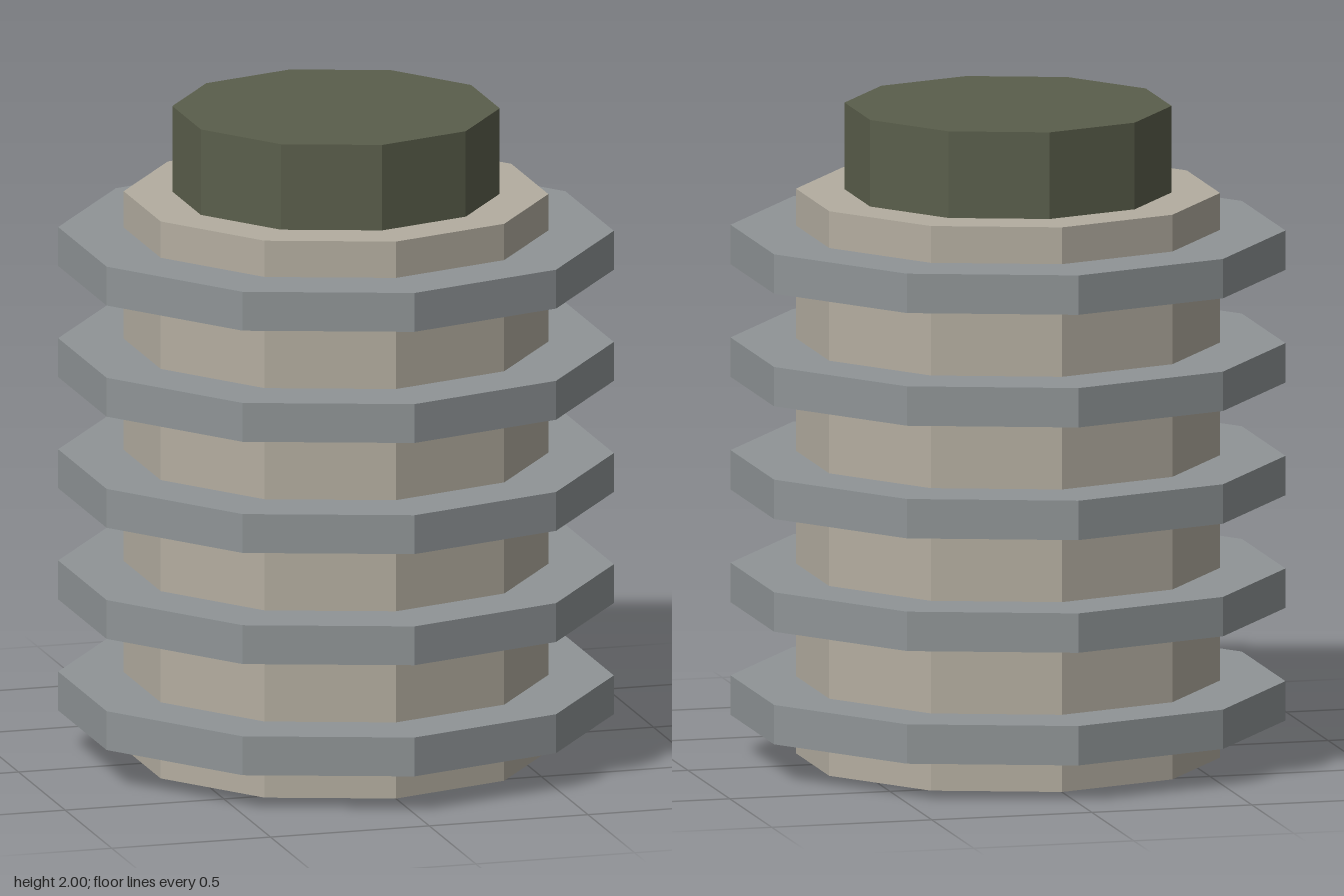
import * as THREE from 'three';

const SIDES = 10;

// Ten-sided prism standing on y = bottom, with a corner facing the front
function prism(name, radius, bottom, height, color) {
  const geometry = new THREE.CylinderGeometry(radius, radius, height, SIDES);
  const material = new THREE.MeshStandardMaterial({ color, flatShading: true });
  const mesh = new THREE.Mesh(geometry, material);
  mesh.name = name;
  mesh.position.y = bottom + height / 2;
  return mesh;
}

export function createModel() {
  const model = new THREE.Group();
  model.name = 'finnedCylinder';

  // Core and the narrower cap on top
  model.add(prism('core', 0.642, 0, 1.734, 0xb3ada0));
  model.add(prism('cap', 0.495, 1.734, 0.266, 0x5a5e4b));

  // Evenly spaced cooling fins
  const fins = new THREE.Group();
  fins.name = 'fins';
  for (let i = 0; i < 5; i++) {
    fins.add(prism(`fin${i + 1}`, 0.84, 0.116 + i * 0.346, 0.121, 0x8f9496));
  }
  model.add(fins);

  return model;
}
